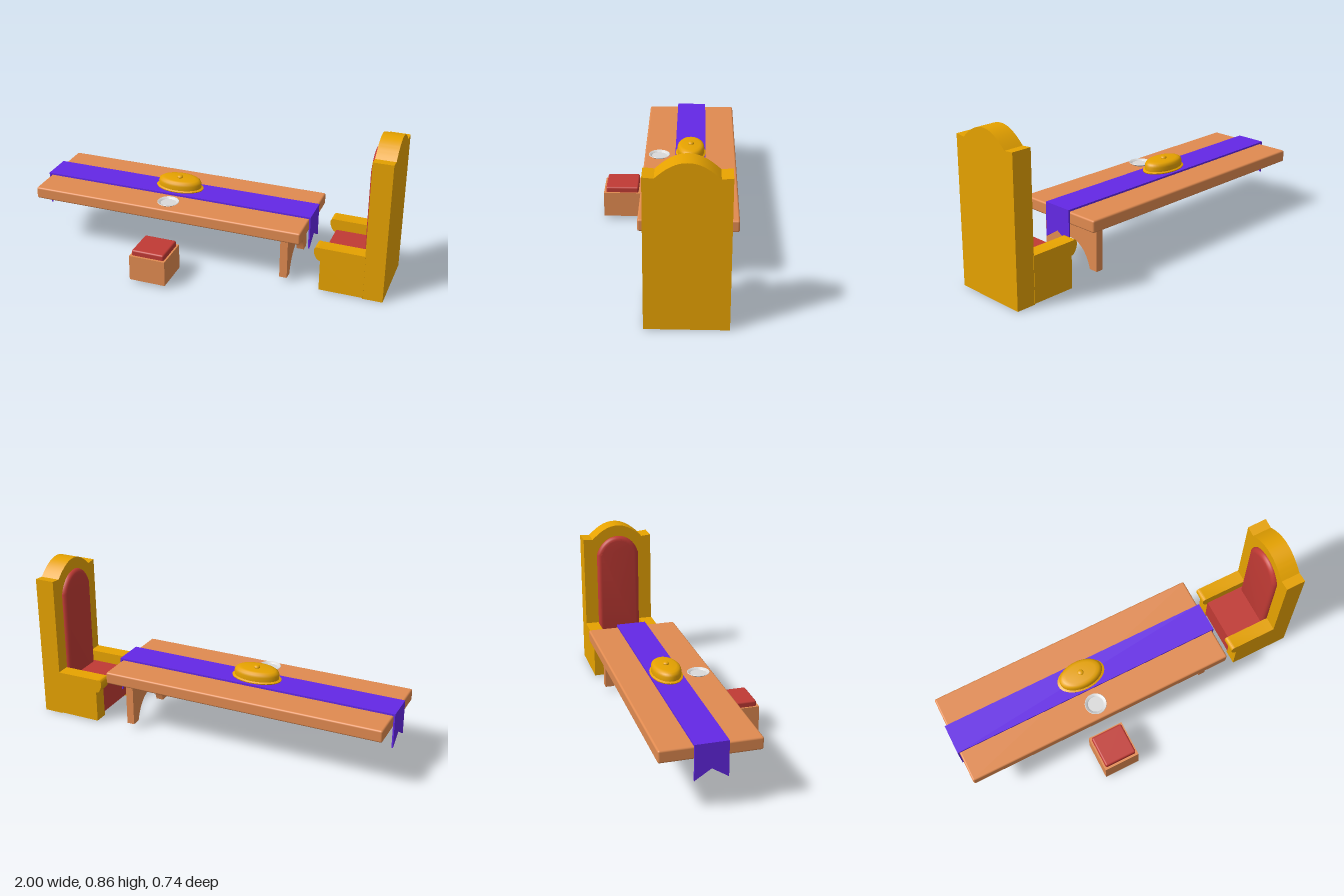
import * as THREE from 'three';
import { RoundedBoxGeometry } from 'three/addons/geometries/RoundedBoxGeometry.js';
import { toCreasedNormals } from 'three/addons/utils/BufferGeometryUtils.js';

const material = (name, color) => {
  const m = new THREE.MeshStandardMaterial({ color });
  m.name = name;
  return m;
};

export function createModel() {
  const wood = material('wood', 0xe08a50);
  const gold = material('gold', 0xe6a200);
  const red = material('red cushion', 0xc03a34);
  const purple = material('purple cloth', 0x6428e6);
  const silver = material('silver', 0xdadada);

  const model = new THREE.Group();
  const group = (name) => {
    const g = new THREE.Group();
    g.name = name;
    model.add(g);
    return g;
  };
  const add = (parent, name, geometry, mat) => {
    const mesh = new THREE.Mesh(geometry, mat);
    mesh.name = name;
    parent.add(mesh);
    return mesh;
  };
  // Box given by its minimum and maximum corners, with optional rounded edges
  const block = (x0, y0, z0, x1, y1, z1, r = 0) => {
    const size = [x1 - x0, y1 - y0, z1 - z0];
    const g = r ? new RoundedBoxGeometry(...size, 3, r) : new THREE.BoxGeometry(...size);
    return g.translate((x0 + x1) / 2, (y0 + y1) / 2, (z0 + z1) / 2);
  };
  // Outline drawn across z (mirrored about zMid) and extruded along +x from x0
  const acrossZ = (shape, x0, depth, zMid, options = {}) => toCreasedNormals(
    new THREE.ExtrudeGeometry(shape, { depth, bevelEnabled: false, curveSegments: 16, ...options })
      .rotateY(Math.PI / 2).translate(x0, 0, zMid), 0.5);

  // Table with a single arched trestle
  const tableZ = -0.114;
  const table = group('table');
  add(table, 'tableTop', block(-0.99, 0.279, -0.37, 0.554, 0.345, 0.143, 0.01), wood);
  const trestle = new THREE.Shape();
  trestle.moveTo(-0.19, 0.027);
  trestle.lineTo(-0.14, 0.027);
  trestle.bezierCurveTo(-0.125, 0.09, -0.08, 0.16, 0, 0.16);
  trestle.bezierCurveTo(0.08, 0.16, 0.125, 0.09, 0.14, 0.027);
  trestle.lineTo(0.19, 0.027);
  trestle.lineTo(0.19, 0.285);
  trestle.lineTo(-0.19, 0.285);
  add(table, 'tableLeg', acrossZ(trestle, 0.43, 0.042, tableZ), wood);

  // Cloth runner with swallowtail ends
  const runner = group('tableRunner');
  add(runner, 'runnerTop', block(-1, 0.348, -0.2, 0.562, 0.358, -0.03), purple);
  const tail = new THREE.Shape([[-0.085, 0.17], [0, 0.225], [0.085, 0.17], [0.085, 0.35], [-0.085, 0.35]]
    .map(([x, y]) => new THREE.Vector2(x, y)));
  for (const x of [-1, 0.554]) add(runner, 'runnerTail', acrossZ(tail, x, 0.008, -0.115), purple);

  // Oval covered dish
  const lathe = (points, segments) => toCreasedNormals(
    new THREE.LatheGeometry(points.map(([x, y]) => new THREE.Vector2(x, y)), segments), 0.7);
  const dish = group('coveredDish');
  dish.position.set(-0.22, 0, -0.117);
  const cover = add(dish, 'dishCover', lathe([
    [0, 0.366], [0.135, 0.366], [0.137, 0.371], [0.123, 0.376], [0.124, 0.4],
    [0.119, 0.412], [0.106, 0.42], [0.085, 0.423], [0, 0.424]], 40), gold);
  cover.scale.z = 0.61;
  add(dish, 'dishKnob', new THREE.SphereGeometry(0.017, 20, 12).scale(1, 0.6, 1).translate(0, 0.426, 0), gold);

  // Small plate
  const plate = add(group('plate'), 'plateBowl', lathe([
    [0, 0.345], [0.042, 0.345], [0.06, 0.357], [0.058, 0.359], [0.047, 0.354], [0.043, 0.35], [0, 0.35]], 32), silver);
  plate.position.set(-0.219, 0, 0.06);

  // Stool
  const stool = group('stool');
  add(stool, 'stoolBase', block(-0.32, 0.016, 0.162, -0.116, 0.16, 0.37), wood);
  add(stool, 'stoolCushion', block(-0.31, 0.15, 0.175, -0.126, 0.191, 0.357, 0.01), red);

  // Throne back with an arched crest
  const chairZ = -0.112;
  const chair = group('throne');
  const back = new THREE.Shape();
  back.moveTo(-0.205, 0);
  back.lineTo(0.205, 0);
  back.lineTo(0.205, 0.79);
  back.lineTo(0.15, 0.785);
  back.bezierCurveTo(0.095, 0.838, 0.05, 0.862, 0, 0.862);
  back.bezierCurveTo(-0.05, 0.862, -0.095, 0.838, -0.15, 0.785);
  back.lineTo(-0.205, 0.79);
  add(chair, 'throneBack', acrossZ(back, 0.892, 0.108, chairZ), gold);

  // Arched back cushion with a broad softened edge
  const pad = new THREE.Shape();
  pad.moveTo(-0.102, 0.2);
  pad.lineTo(0.102, 0.2);
  pad.lineTo(0.102, 0.685);
  pad.bezierCurveTo(0.085, 0.74, 0.045, 0.772, 0, 0.772);
  pad.bezierCurveTo(-0.045, 0.772, -0.085, 0.74, -0.102, 0.685);
  add(chair, 'backCushion', acrossZ(pad, 0.892, 0.005, chairZ,
    { bevelEnabled: true, bevelSize: 0.025, bevelThickness: 0.024, bevelSegments: 4 }), red);

  // Seat between the arms
  add(chair, 'throneSeat', block(0.655, 0.03, -0.245, 0.9, 0.195, 0.02), red);

  // Side panels with scrolled arm fronts
  const arm = new THREE.Shape();
  arm.moveTo(0.895, 0.006);
  arm.lineTo(0.895, 0.255);
  arm.lineTo(0.645, 0.257);
  arm.bezierCurveTo(0.625, 0.265, 0.616, 0.245, 0.62, 0.225);
  arm.bezierCurveTo(0.626, 0.205, 0.635, 0.18, 0.655, 0.18);
  arm.lineTo(0.655, 0.006);
  for (const z of [-0.32, 0.0165]) {
    const g = new THREE.ExtrudeGeometry(arm, { depth: 0.078, bevelEnabled: false, curveSegments: 8 });
    add(chair, 'throneArm', toCreasedNormals(g.translate(0, 0, z), 0.6), gold);
  }
  return model;
}
